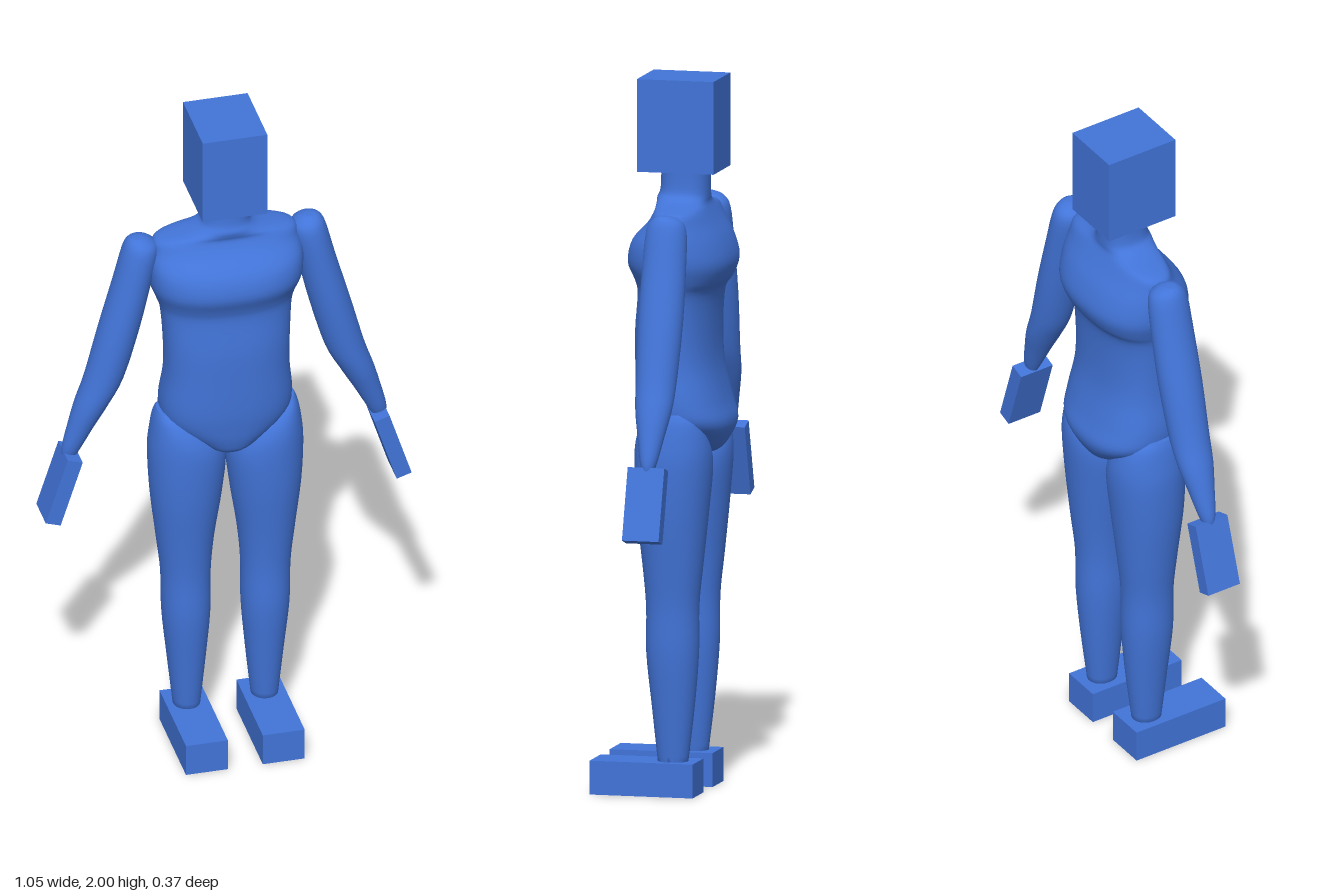
import * as THREE from 'three';

// Smooth closed skin through horizontal sections: [y, xMin, xMax, zBack, zFront], top to bottom
function loft(rows, power = 2, sub = 4, seg = 40) {
  const pos = [], index = [];
  const n = (rows.length - 1) * sub;
  const spline = (a, b, c, d, t) =>
    b + 0.5 * t * (c - a + t * (2 * a - 5 * b + 4 * c - d + t * (3 * (b - c) + d - a)));
  const row = (i) => rows[Math.max(0, Math.min(rows.length - 1, i))];
  const bend = (v) => Math.sign(v) * Math.pow(Math.abs(v), 2 / power);
  for (let i = 0; i <= n; i++) {
    const k = Math.min(Math.floor(i / sub), rows.length - 2), t = i / sub - k;
    const [y, x0, x1, z0, z1] = row(k).map((b, j) =>
      spline(row(k - 1)[j], b, row(k + 1)[j], row(k + 2)[j], t));
    for (let s = 0; s < seg; s++) {
      const a = (s / seg) * Math.PI * 2;
      pos.push((x0 + x1) / 2 + ((x1 - x0) / 2) * bend(Math.cos(a)), y,
        (z0 + z1) / 2 + ((z1 - z0) / 2) * bend(Math.sin(a)));
    }
  }
  for (let i = 0; i < n; i++) {
    for (let s = 0; s < seg; s++) {
      const a = i * seg + s, b = i * seg + ((s + 1) % seg), c = a + seg, d = b + seg;
      index.push(a, b, c, b, d, c);
    }
  }
  // end caps
  for (const [ring, top] of [[0, true], [n, false]]) {
    const o = ring * seg;
    for (let s = 1; s < seg - 1; s++) {
      if (top) index.push(o, o + s + 1, o + s);
      else index.push(o, o + s, o + s + 1);
    }
  }
  const g = new THREE.BufferGeometry();
  g.setAttribute('position', new THREE.Float32BufferAttribute(pos, 3));
  g.setIndex(index);
  g.computeVertexNormals();
  return g;
}

const mirrorRows = (rows, side) =>
  side > 0 ? rows : rows.map(([y, x0, x1, z0, z1]) => [y, -x1, -x0, z0, z1]);

export function createModel() {
  const model = new THREE.Group();
  model.name = 'mannequin';
  const blue = new THREE.MeshStandardMaterial({ color: 0x4274d8 });
  blue.name = 'blue';
  const add = (name, geometry, x = 0, y = 0, z = 0) => {
    const mesh = new THREE.Mesh(geometry, blue);
    mesh.name = name;
    mesh.position.set(x, y, z);
    model.add(mesh);
    return mesh;
  };

  // head block
  add('head', new THREE.BoxGeometry(0.185, 0.26, 0.22), 0, 1.87, -0.04);

  // neck and torso: y, half width, back, front
  const torso = [
    [1.76, 0.065, -0.115, 0.02], [1.69, 0.066, -0.115, 0.022], [1.665, 0.08, -0.115, 0.03],
    [1.65, 0.12, -0.115, 0.028], [1.633, 0.195, -0.122, 0.025], [1.6, 0.208, -0.14, 0.045],
    [1.55, 0.218, -0.168, 0.09], [1.49, 0.215, -0.185, 0.104], [1.44, 0.197, -0.17, 0.085],
    [1.4, 0.185, -0.146, 0.077], [1.3, 0.178, -0.14, 0.085], [1.2, 0.177, -0.145, 0.085],
    [1.1, 0.187, -0.168, 0.083], [1.04, 0.175, -0.185, 0.077], [0.99, 0.115, -0.168, 0.068],
    [0.955, 0.06, -0.135, 0.05], [0.935, 0.012, -0.06, -0.01],
  ].map(([y, w, b, f]) => [y, -w, w, b, f]);
  add('torso', loft(torso, 2.4));

  const leg = [
    [1.075, 0.15, 0.195, -0.08, 0.0], [1.05, 0.1, 0.205, -0.115, 0.035],
    [1.0, 0.04, 0.214, -0.14, 0.06], [0.93, 0.003, 0.22, -0.15, 0.068],
    [0.8, 0.013, 0.214, -0.14, 0.062], [0.65, 0.035, 0.197, -0.125, 0.045],
    [0.53, 0.045, 0.184, -0.113, 0.035], [0.4, 0.046, 0.181, -0.112, 0.035],
    [0.25, 0.058, 0.166, -0.1, 0.02], [0.08, 0.075, 0.148, -0.08, 0.002],
  ];
  const arm = [
    [1.643, 0.232, 0.262, -0.062, -0.035], [1.632, 0.208, 0.278, -0.09, -0.015],
    [1.6, 0.19, 0.292, -0.11, 0.003], [1.5, 0.21, 0.318, -0.115, 0.008],
    [1.35, 0.245, 0.36, -0.116, 0.01], [1.2, 0.289, 0.4, -0.11, 0.005],
    [1.12, 0.33, 0.427, -0.105, -0.002], [1.05, 0.37, 0.447, -0.092, -0.016],
    [0.98, 0.408, 0.464, -0.078, -0.03], [0.945, 0.428, 0.462, -0.066, -0.042],
  ];

  // limbs, mirrored left and right
  for (const [side, label] of [[1, 'left'], [-1, 'right']]) {
    add(label + 'Leg', loft(mirrorRows(leg, side), 2.1));
    add(label + 'Foot', new THREE.BoxGeometry(0.12, 0.095, 0.295), side * 0.11, 0.0475, 0.0375);
    add(label + 'Arm', loft(mirrorRows(arm, side)));
    const hand = add(label + 'Hand', new THREE.BoxGeometry(0.045, 0.207, 0.105),
      side * 0.471, 0.863, -0.053);
    hand.rotation.z = side * 0.31;
  }
  return model;
}
